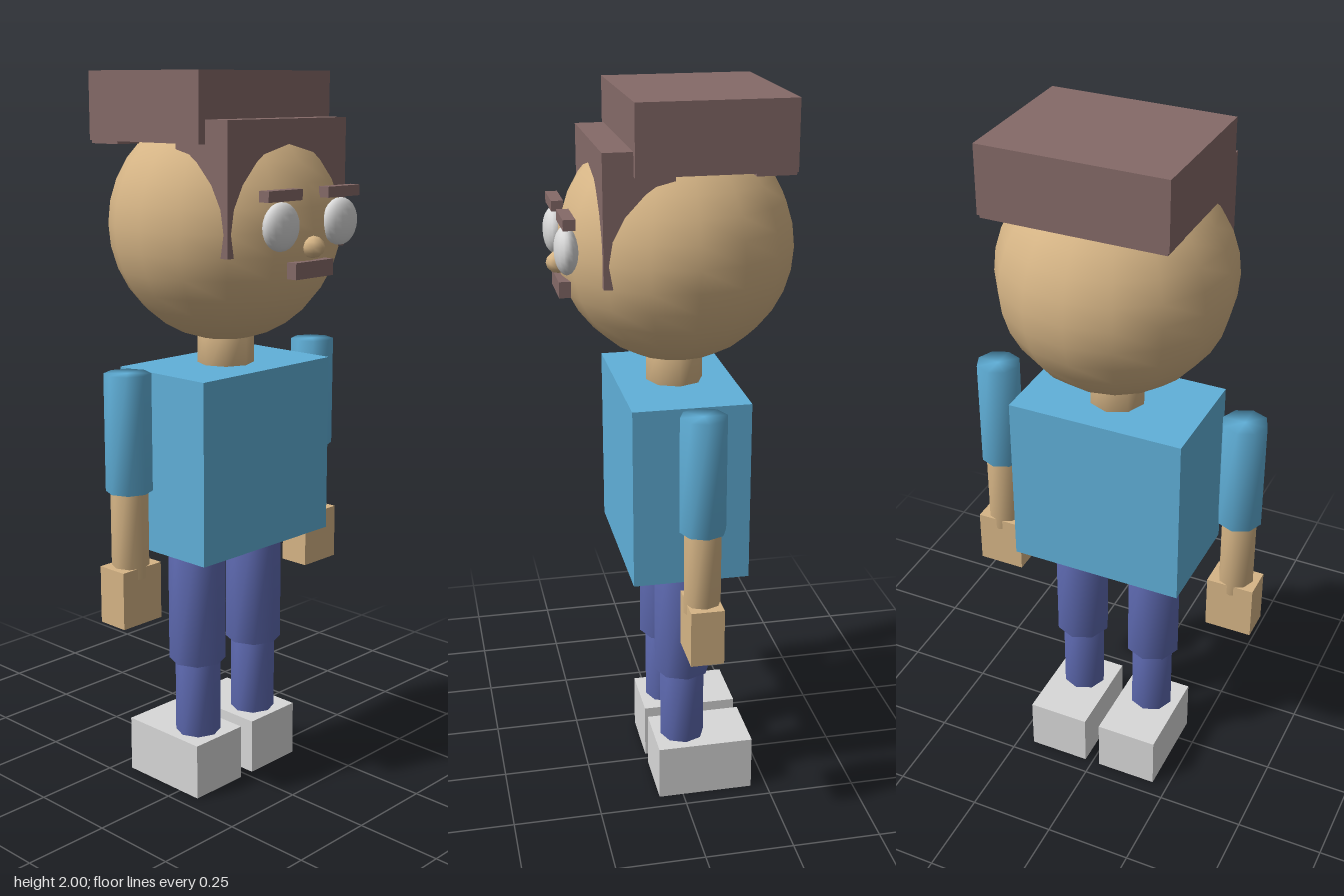
import * as THREE from 'three';
import { mergeVertices } from 'three/addons/utils/BufferGeometryUtils.js';

const material = (name, color) => {
  const m = new THREE.MeshStandardMaterial({ color });
  m.name = name;
  return m;
};

export function createModel() {
  const model = new THREE.Group();
  model.name = 'blockFigure';

  const skin = material('skin', 0xd6b586);
  const hair = material('hair brown', 0x856a68);
  const shirt = material('shirt blue', 0x60b0d9);
  const trousers = material('trousers indigo', 0x5f6bb3);
  const white = material('pale grey', 0xd8d8d8);

  const add = (name, geometry, mat) => {
    const mesh = new THREE.Mesh(geometry, mat);
    mesh.name = name;
    model.add(mesh);
    return mesh;
  };

  // Box given by its extents on each axis
  const box = (name, mat, [x0, x1], [y0, y1], [z0, z1]) =>
    add(name, new THREE.BoxGeometry(x1 - x0, y1 - y0, z1 - z0), mat)
      .position.set((x0 + x1) / 2, (y0 + y1) / 2, (z0 + z1) / 2);

  // Upright limb whose caps share smooth normals with the sides
  const limb = (name, mat, x, r, y0, y1) => {
    const raw = new THREE.CylinderGeometry(r, r, y1 - y0, 8);
    raw.deleteAttribute('normal');
    raw.deleteAttribute('uv');
    const geometry = mergeVertices(raw, 1e-4);
    geometry.computeVertexNormals();
    add(name, geometry, mat).position.set(x, (y0 + y1) / 2, -0.014);
  };

  const ball = (name, mat, [x, y, z], [rx, ry, rz], w, h) => {
    const mesh = add(name, new THREE.SphereGeometry(1, w, h), mat);
    mesh.position.set(x, y, z);
    mesh.scale.set(rx, ry, rz);
  };

  // Head, neck and torso
  ball('head', skin, [0, 1.6, -0.016], [0.315, 0.315, 0.315], 16, 16);
  limb('neck', skin, 0, 0.078, 1.18, 1.34);
  box('torso', shirt, [-0.25, 0.25], [0.72, 1.22], [-0.17, 0.148]);

  // Hair: block on the crown, and a fringe that the head cuts into an arch
  box('hairTop', hair, [-0.25, 0.25], [1.82, 2], [-0.275, 0.135]);
  box('hairBack', hair, [-0.245, 0.245], [1.812, 1.85], [-0.272, -0.17]);
  box('hairFringe', hair, [-0.228, 0.228], [1.54, 1.88], [0.03, 0.212]);

  // Face
  ball('nose', skin, [0, 1.56, 0.297], [0.032, 0.029, 0.032], 8, 6);
  box('mouth', hair, [-0.073, 0.073], [1.482, 1.525], [0.274, 0.305]);

  // Mirrored features and limbs
  for (const [side, s] of [['left', 1], ['right', -1]]) {
    const span = (a, b) => (s > 0 ? [a, b] : [-b, -a]);
    ball(side + 'Eye', white, [s * 0.115, 1.618, 0.29], [0.062, 0.062, 0.031], 16, 12);
    box(side + 'Eyebrow', hair, span(0.05, 0.177), [1.682, 1.71], [0.272, 0.304]);

    limb(side + 'UpperArm', shirt, s * 0.366, 0.062, 0.925, 1.24);
    limb(side + 'Forearm', skin, s * 0.366, 0.05, 0.69, 1);
    box(side + 'Hand', skin, span(0.297, 0.432), [0.563, 0.72], [-0.06, 0.03]);

    limb(side + 'Thigh', trousers, s * 0.116, 0.08, 0.38, 0.76);
    limb(side + 'Shin', trousers, s * 0.114, 0.064, 0.13, 0.44);
    box(side + 'Shoe', white, span(0.023, 0.203), [0, 0.16], [-0.204, 0.07]);
  }

  return model;
}
